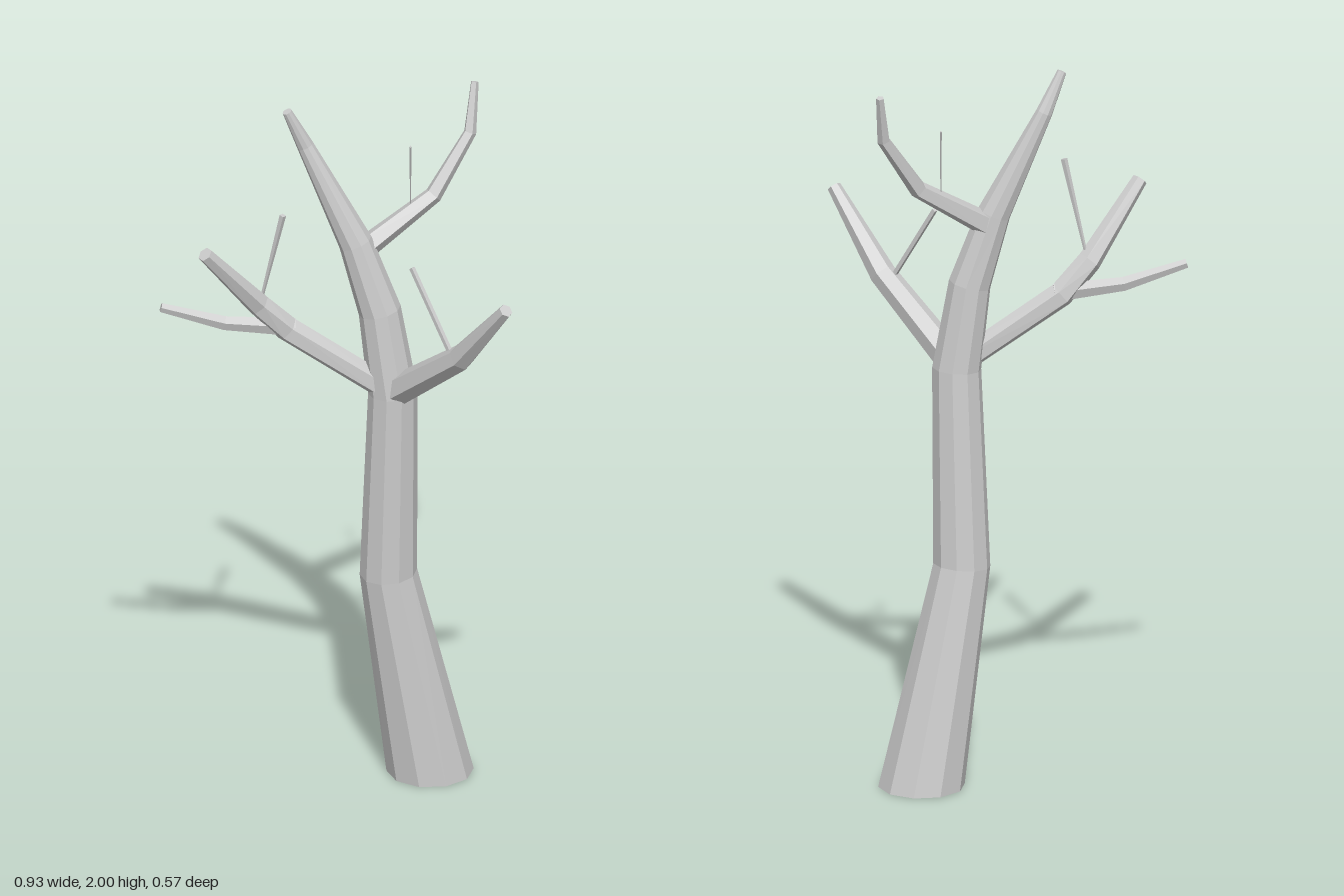
import * as THREE from 'three';

const UP = new THREE.Vector3(0, 1, 0);

// Tapered faceted limb through rings [x, y, z, radius]; "flat" squashes its section along x.
function limbGeometry(rings, sides, { openBase = false, flat = 1, level = 1 } = {}) {
  const centres = rings.map(([x, y, z]) => new THREE.Vector3(x, y, z));
  const last = rings.length - 1;
  const pos = [], index = [];
  centres.forEach((c, k) => {
    // Each ring is square to the average of its neighbouring segments
    const dir = new THREE.Vector3();
    if (k > 0) dir.add(c.clone().sub(centres[k - 1]).normalize());
    if (k < last) dir.add(centres[k + 1].clone().sub(c).normalize());
    if (k === 0 && openBase) dir.copy(UP);
    const q = new THREE.Quaternion().setFromUnitVectors(UP, dir.normalize());
    for (let i = 0; i < sides; i++) {
      const a = (i / sides) * Math.PI * 2, r = rings[k][3];
      const p = new THREE.Vector3(Math.cos(a) * r * flat, 0, Math.sin(a) * r);
      pos.push(...p.applyQuaternion(q).add(c).toArray());
    }
  });
  for (let k = 0; k < last; k++) {
    for (let i = 0; i < sides; i++) {
      const a = k * sides + i, b = k * sides + (i + 1) % sides;
      index.push(b, a, a + sides, b, a + sides, b + sides);
    }
  }
  // End caps
  const top = last * sides;
  for (let i = 1; i < sides - 1; i++) {
    index.push(top, top + i + 1, top + i);
    if (!openBase) index.push(0, i, i + 1);
  }
  const g = new THREE.BufferGeometry();
  g.setAttribute('position', new THREE.Float32BufferAttribute(pos, 3));
  g.setIndex(index);
  const faceted = g.toNonIndexed();
  faceted.computeVertexNormals();
  return faceted;
}

export function createModel() {
  const bark = new THREE.MeshStandardMaterial({
    color: 0xcccccc, flatShading: true, side: THREE.DoubleSide,
  });
  bark.name = 'paleGreyBark';
  const tree = new THREE.Group();
  tree.name = 'bareTree';

  const add = (name, rings, sides, options) => {
    const mesh = new THREE.Mesh(limbGeometry(rings, sides, options), bark);
    mesh.name = name;
    tree.add(mesh);
  };

  // Leaning trunk running up into the tallest leader, hollow at the foot
  add('trunk', [
    [0.27, 0, -0.175, 0.118],
    [0.155, 0.61, -0.137, 0.078],
    [0.165, 1.16, -0.108, 0.067],
    [0.13, 1.4, -0.112, 0.058],
    [0.065, 1.6, -0.12, 0.046],
    [-0.07, 1.885, -0.135, 0.023],
    [-0.12, 1.994, -0.12, 0.013],
  ], 10, { openBase: true });

  // Main boughs
  add('rightBough', [
    [0.14, 1.18, -0.095, 0.035],
    [-0.12, 1.355, -0.105, 0.036],
    [-0.2, 1.44, -0.085, 0.033],
    [-0.35, 1.635, 0.008, 0.021],
  ], 6);
  add('leftBough', [
    [0.18, 1.18, -0.075, 0.043],
    [0.335, 1.36, 0.12, 0.036],
    [0.448, 1.565, 0.268, 0.019],
  ], 6);
  add('upperBough', [
    [0.09, 1.575, -0.135, 0.034],
    [0.28, 1.7, -0.195, 0.025],
    [0.382, 1.86, -0.245, 0.018],
    [0.397, 1.994, -0.28, 0.011],
  ], 5);
  add('rightSideBranch', [
    [-0.1, 1.36, -0.105, 0.026],
    [-0.29, 1.377, -0.105, 0.02],
    [-0.462, 1.428, -0.105, 0.013],
  ], 5);

  // Thin twigs, a little wider at the tip
  add('rightTwig', [
    [-0.195, 1.44, -0.085, 0.004],
    [-0.136, 1.72, -0.045, 0.009],
  ], 4);
  add('leftTwig', [
    [0.305, 1.37, 0.09, 0.008],
    [0.21, 1.575, 0.0, 0.008],
  ], 4);
  add('upperTwig', [
    [0.217, 1.65, -0.175, 0.004],
    [0.217, 1.855, -0.173, 0.009],
  ], 4, { flat: 0.3 });

  return tree;
}
